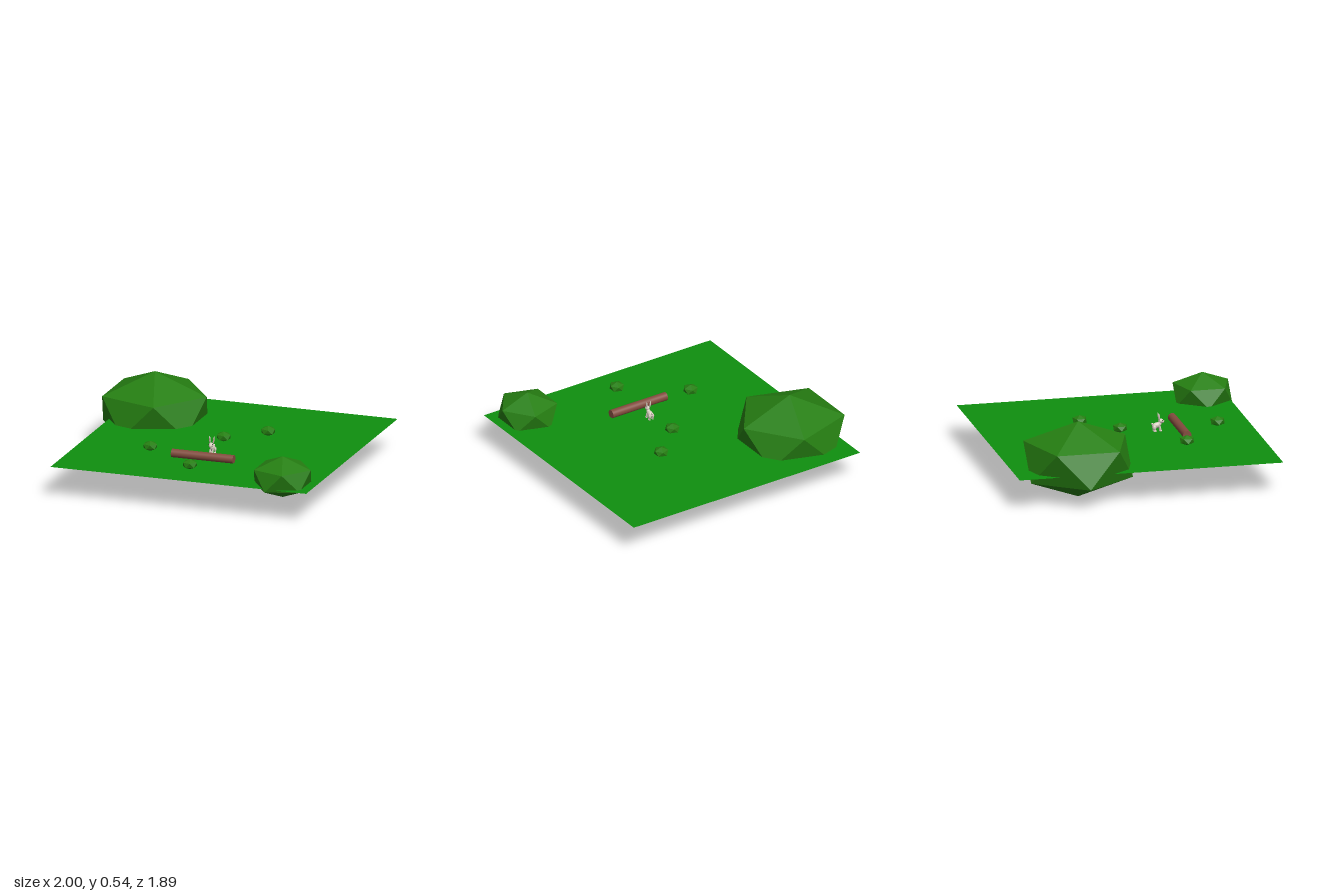
import * as THREE from 'three';

export function createModel() {
  const model = new THREE.Group();
  const mat = (name, color, extra = {}) => {
    const m = new THREE.MeshStandardMaterial({ color, ...extra });
    m.name = name;
    return m;
  };
  const grass = mat('grass', 0x0f900f, { side: THREE.DoubleSide });
  const leaves = mat('leaves', 0x267f12, { flatShading: true });
  const bark = mat('bark', 0x824c3e);
  const fur = mat('fur', 0xd6cebf);
  const pink = mat('pink', 0xc09a94);
  const dark = mat('dark', 0x2a2422);

  const add = (parent, name, geometry, material, x, y, z) => {
    const mesh = new THREE.Mesh(geometry, material);
    mesh.name = name;
    mesh.position.set(x, y, z);
    parent.add(mesh);
    return mesh;
  };

  // Flat square lawn
  const groundY = 0.226;
  const lawn = new THREE.PlaneGeometry(1.885, 1.88).rotateX(-Math.PI / 2);
  add(model, 'lawn', lawn, grass, 0.057, groundY, -0.01);

  // Squashed icosahedron bushes, each standing on one corner: x, z, radius
  const bushShape = new THREE.IcosahedronGeometry(1, 0)
    .rotateZ(-Math.atan(2 / (1 + Math.sqrt(5))));
  [
    [-0.617, -0.47, 0.427], [0.76, 0.745, 0.232],
    [0.3, -0.24, 0.056], [0.055, -0.01, 0.056],
    [-0.35, 0.37, 0.056], [0.055, 0.685, 0.056],
  ].forEach(([x, z, r]) => {
    add(model, r > 0.1 ? 'largeBush' : 'smallBush', bushShape, leaves, x, 0.273, z)
      .scale.set(r, r * 0.635, r);
  });

  // Fallen log
  const log = new THREE.CylinderGeometry(0.03, 0.03, 0.455, 32).rotateZ(Math.PI / 2);
  add(model, 'log', log, bark, 0.055, 0.253, 0.415);

  // Small rabbit, facing the log
  const rabbit = new THREE.Group();
  rabbit.name = 'rabbit';
  rabbit.position.set(0.067, 0, 0);
  model.add(rabbit);
  const ball = new THREE.SphereGeometry(1, 16, 12);
  const blob = (name, material, x, y, z, sx, sy, sz, tilt = 0) => {
    const mesh = add(rabbit, name, ball, material, x, y, z);
    mesh.scale.set(sx, sy, sz);
    mesh.rotation.x = tilt;
    return mesh;
  };
  blob('body', fur, 0, 0.268, 0.252, 0.018, 0.02, 0.032, -0.25);
  blob('chest', fur, 0, 0.277, 0.272, 0.014, 0.018, 0.015);
  blob('head', fur, 0, 0.298, 0.284, 0.016, 0.016, 0.019, 0.2);
  blob('muzzle', fur, 0, 0.292, 0.298, 0.01, 0.009, 0.01);
  blob('nose', pink, 0, 0.295, 0.307, 0.003, 0.0025, 0.0025);
  blob('tail', fur, 0, 0.279, 0.223, 0.008, 0.008, 0.008);
  for (const s of [-1, 1]) {
    const tilt = -0.12;
    blob('ear', fur, s * 0.014, 0.329, 0.269, 0.006, 0.026, 0.005, tilt).rotation.z = -s * 0.12;
    blob('innerEar', pink, s * 0.014, 0.329, 0.272, 0.0035, 0.02, 0.003, tilt).rotation.z = -s * 0.12;
    blob('eye', dark, s * 0.013, 0.303, 0.293, 0.003, 0.0035, 0.003);
    blob('frontLeg', fur, s * 0.01, 0.246, 0.277, 0.006, 0.022, 0.007, -0.2);
    blob('frontFoot', fur, s * 0.01, 0.229, 0.281, 0.007, 0.006, 0.01);
    blob('thigh', fur, s * 0.014, 0.255, 0.236, 0.008, 0.017, 0.013);
    blob('hindLeg', fur, s * 0.013, 0.238, 0.235, 0.006, 0.014, 0.007);
    blob('hindFoot', fur, s * 0.013, 0.229, 0.24, 0.007, 0.006, 0.013);
  }
  return model;
}
